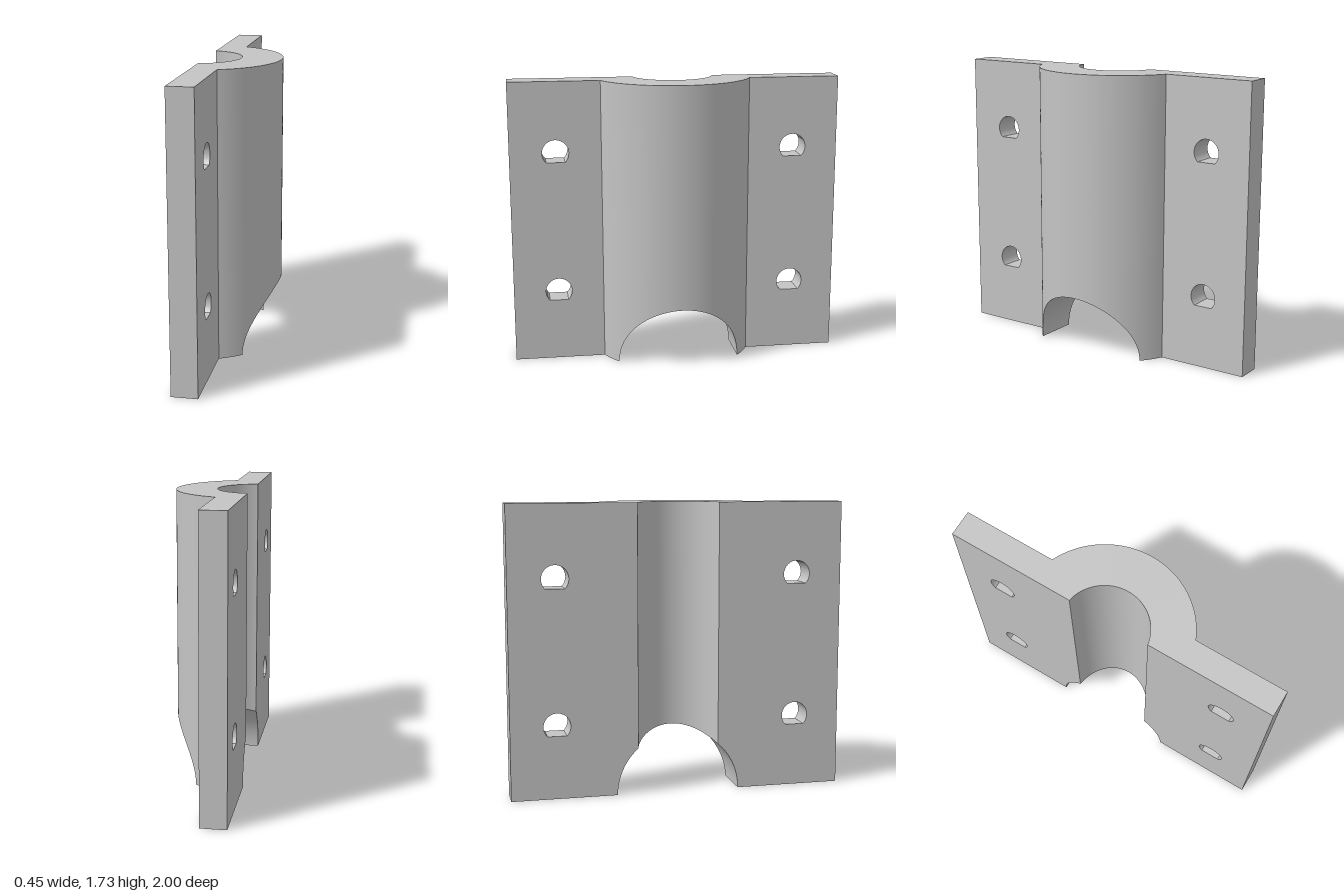
import * as THREE from 'three';
import { toCreasedNormals } from 'three/addons/utils/BufferGeometryUtils.js';

const HEIGHT = 1.725, BACK = -0.225;
const AXIS = -0.265, OUTER = 0.49, INNER = 0.247; // channel axis x and radii
const NOTCH = 0.37;                               // radius of the cross cut
const EDGE = 0.45;                                // where the saddle meets the flanges
const INNER_HALF = Math.sqrt(INNER ** 2 - (BACK - AXIS) ** 2);

const frontX = z => AXIS + Math.sqrt(OUTER ** 2 - z * z);
const backX = z => Math.abs(z) < INNER_HALF ? Math.max(BACK, AXIS + Math.sqrt(INNER ** 2 - z * z)) : BACK;
const bottomY = z => Math.sqrt(Math.max(0, NOTCH ** 2 - z * z));

// Curved saddle: rectangular sections swept along z
function saddleGeometry() {
  const half = [];
  const a = Math.asin(INNER_HALF / INNER), b = Math.asin(INNER_HALF / NOTCH);
  for (let i = 1; i <= 24; i++) half.push(INNER * Math.sin(a * i / 24));
  for (let i = 1; i < 16; i++) half.push(NOTCH * Math.sin(b + (Math.PI / 2 - b) * i / 16));
  half.push(NOTCH);
  for (let i = 1; i <= 5; i++) half.push(NOTCH + (EDGE - NOTCH) * i / 5);
  const stations = [...half.map(z => -z).reverse(), 0, ...half];

  const section = z => {
    const xb = backX(z), xf = frontX(z), y = bottomY(z);
    return [[xb, y, z], [xf, y, z], [xf, HEIGHT, z], [xb, HEIGHT, z]];
  };
  const pos = [];
  for (let i = 0; i < stations.length - 1; i++) {
    const s = section(stations[i]), t = section(stations[i + 1]);
    for (let k = 0; k < 4; k++) {
      const n = (k + 1) % 4;
      pos.push(...s[k], ...s[n], ...t[n], ...s[k], ...t[n], ...t[k]);
    }
  }
  const g = new THREE.BufferGeometry();
  g.setAttribute('position', new THREE.Float32BufferAttribute(pos, 3));
  return toCreasedNormals(g, Math.PI / 6);
}

// Teardrop bolt hole, point downwards
function teardrop(u, y, r) {
  const p = new THREE.Path();
  p.moveTo(u, y - r * Math.SQRT2);
  p.absarc(u, y, r, -Math.PI / 4, Math.PI * 5 / 4, false);
  p.closePath();
  return p;
}

// Flat flange with two bolt holes
function flangeGeometry(side) {
  const u0 = Math.min(side * EDGE, side), u1 = Math.max(side * EDGE, side);
  const shape = new THREE.Shape([[u0, 0], [u1, 0], [u1, HEIGHT], [u0, HEIGHT]]
    .map(([u, y]) => new THREE.Vector2(u, y)));
  for (const y of [0.433, 1.295]) shape.holes.push(teardrop(side * 0.725, y, 0.08));
  const g = new THREE.ExtrudeGeometry(shape, {
    depth: frontX(EDGE) - BACK, bevelEnabled: false, curveSegments: 32,
  });
  g.rotateY(Math.PI / 2);
  g.translate(BACK, 0, 0);
  return toCreasedNormals(g, Math.PI / 6);
}

export function createModel() {
  const grey = new THREE.MeshStandardMaterial({ color: 0xc4c4c4 });
  grey.name = 'light grey';
  const model = new THREE.Group();
  model.name = 'pipeClampHalf';
  const add = (name, geometry) => {
    const mesh = new THREE.Mesh(geometry, grey);
    mesh.name = name;
    model.add(mesh);
  };
  add('saddle', saddleGeometry());
  add('frontFlange', flangeGeometry(-1));
  add('backFlange', flangeGeometry(1));
  return model;
}
